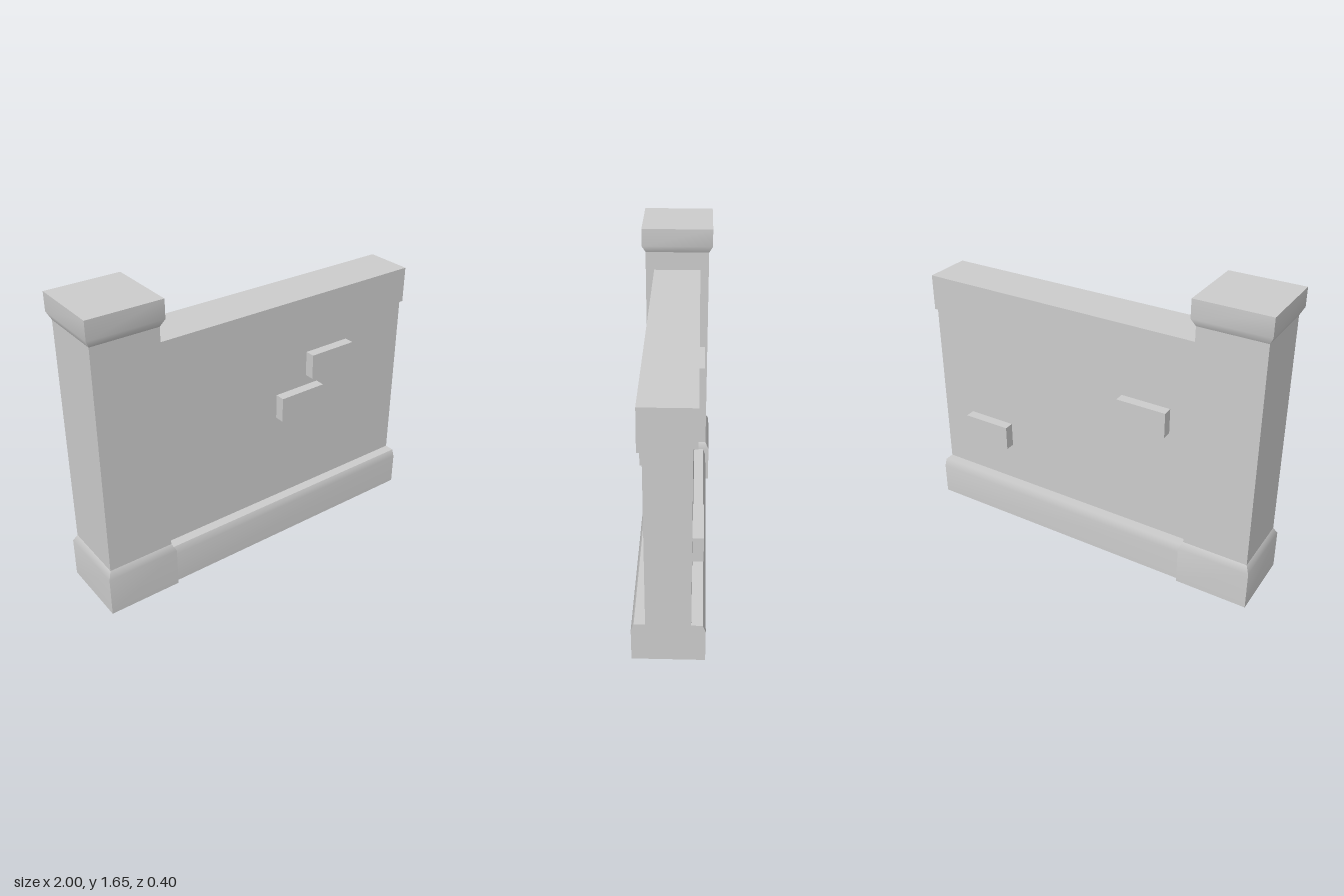
import * as THREE from 'three';

const material = new THREE.MeshStandardMaterial({ color: 0xcccccc });
const CORNERS = [[-1, 1], [1, 1], [1, -1], [-1, -1]];

// Rectangular loft through rings [y, halfX, halfZ]: smooth up each side, sharp at the corners.
function loft(rings) {
  const pos = [], index = [];
  const put = ([y, hx, hz], [sx, sz]) => pos.push(sx * hx, y, sz * hz);
  for (let s = 0; s < 4; s++) {
    const start = pos.length / 3;
    rings.forEach((ring, i) => {
      put(ring, CORNERS[s]);
      put(ring, CORNERS[(s + 1) % 4]);
      if (i === 0) return;
      const a = start + 2 * (i - 1);
      index.push(a, a + 1, a + 3, a, a + 3, a + 2);
    });
  }
  // Flat top and bottom
  const top = pos.length / 3;
  CORNERS.forEach((c) => put(rings[rings.length - 1], c));
  index.push(top, top + 1, top + 2, top, top + 2, top + 3);
  CORNERS.forEach((c) => put(rings[0], c));
  index.push(top + 4, top + 6, top + 5, top + 4, top + 7, top + 6);

  const geometry = new THREE.BufferGeometry();
  geometry.setAttribute('position', new THREE.Float32BufferAttribute(pos, 3));
  geometry.setIndex(index);
  geometry.computeVertexNormals();
  return geometry;
}

function addPart(group, name, geometry, x = 0, y = 0, z = 0) {
  const mesh = new THREE.Mesh(geometry, material);
  mesh.name = name;
  mesh.position.set(x, y, z);
  group.add(mesh);
}

export function createModel() {
  const model = new THREE.Group();
  model.name = 'wallWithPillar';

  // Square pillar with chamfered base and flared cap
  const pillar = new THREE.Group();
  pillar.name = 'pillar';
  pillar.position.x = -0.8;
  addPart(pillar, 'pillarBase', loft([[0, 0.2, 0.2], [0.22, 0.2, 0.2], [0.26, 0.18, 0.18]]));
  addPart(pillar, 'pillarShaft', loft([[0.26, 0.18, 0.18], [1.51, 0.18, 0.18]]));
  addPart(pillar, 'pillarCap', loft([[1.51, 0.18, 0.18], [1.55, 0.2, 0.2], [1.65, 0.2, 0.2]]));
  model.add(pillar);

  // Wall running from the pillar shaft to the far end
  const wall = new THREE.Group();
  wall.name = 'wall';
  const half = 0.81, midX = 0.19;
  addPart(wall, 'wallPlinth', loft([[0, half, 0.18], [0.18, half, 0.18], [0.22, half, 0.165]]), midX);
  addPart(wall, 'wallPanel', loft([[0.22, half, 0.11], [1.21, half, 0.11]]), midX);
  addPart(wall, 'wallCoping', loft([[1.205, half, 0.132], [1.405, half, 0.132]]), midX);
  model.add(wall);

  // Bricks standing proud of the panel: centre x, centre y, side
  const bricks = new THREE.Group();
  bricks.name = 'bricks';
  const brick = new THREE.BoxGeometry(0.28, 0.14, 0.11);
  [[0.46, 1.005, 1], [0.26, 0.805, 1], [-0.335, 0.922, -1], [0.665, 0.52, -1]]
    .forEach(([x, y, side]) => addPart(bricks, side > 0 ? 'frontBrick' : 'backBrick', brick, x, y, side * 0.11));
  model.add(bricks);

  return model;
}
